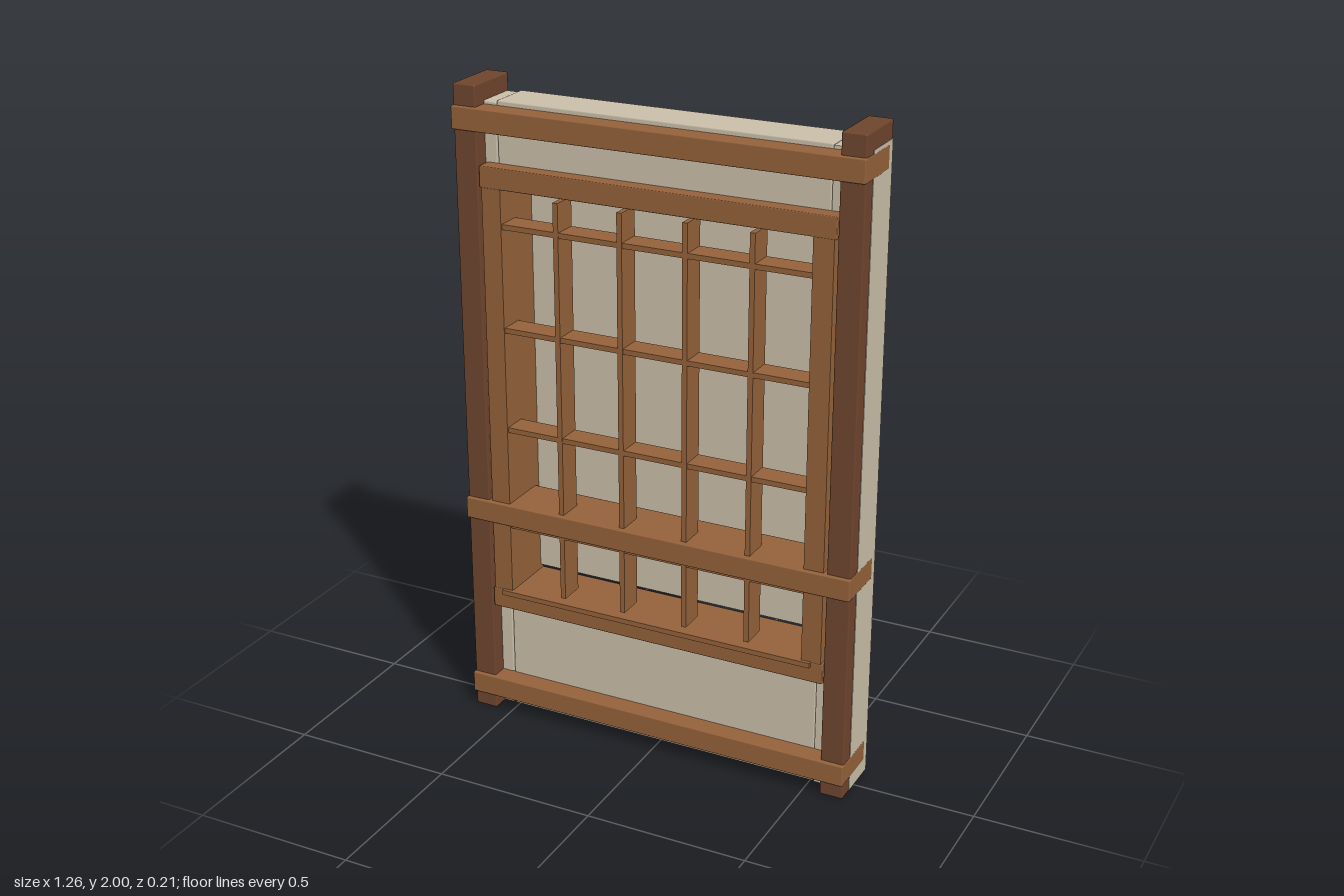
import * as THREE from 'three';
import { RoundedBoxGeometry } from 'three/addons/geometries/RoundedBoxGeometry.js';

const mat = (name, color) => {
  const m = new THREE.MeshStandardMaterial({ color });
  m.name = name;
  return m;
};

export function createModel() {
  const darkWood = mat('darkWood', 0x6f452d);
  const wood = mat('wood', 0x94623a);
  const plaster = mat('plaster', 0xcabfa9);
  const model = new THREE.Group();
  model.name = 'latticeWindowWall';

  // Box given by its limits on each axis, with an optional small bevel
  const box = (name, material, [x0, x1], [y0, y1], [z0, z1], bevel = 0) => {
    const w = x1 - x0, h = y1 - y0, d = z1 - z0;
    const geo = bevel ? new RoundedBoxGeometry(w, h, d, 1, bevel) : new THREE.BoxGeometry(w, h, d);
    const mesh = new THREE.Mesh(geo, material);
    mesh.name = name;
    mesh.position.set((x0 + x1) / 2, (y0 + y1) / 2, (z0 + z1) / 2);
    model.add(mesh);
  };
  const mirror = (s, a, b) => (s > 0 ? [a, b] : [-b, -a]);

  // Corner posts
  for (const s of [-1, 1]) {
    box(s > 0 ? 'leftPost' : 'rightPost', darkWood, mirror(s, 0.553, 0.626), [0, 2], [-0.096, 0.09], 0.005);
  }

  // Plaster wall: panels above and below the window, strips beside it
  const wallZ = [-0.095, 0.042];
  box('upperWall', plaster, [-0.512, 0.512], [1.72, 1.952], wallZ, 0.005);
  box('lowerWall', plaster, [-0.512, 0.512], [0.004, 0.42], wallZ, 0.005);
  box('rightWallStrip', plaster, [-0.62, -0.514], [0.004, 1.947], [-0.092, 0.042], 0.005);
  box('leftWallStrip', plaster, [0.514, 0.6275], [0.004, 1.947], [-0.092, 0.042]);

  // Horizontal rails running through the posts
  for (const y of [0.083, 0.69, 1.903]) {
    box('rail', wood, [-0.6255, 0.6285], [y - 0.034, y + 0.034], [-0.07, 0.102], 0.004);
    // Rail end in front of the right post
    box('railEnd', wood, [-0.628, -0.6], [y - 0.034, y + 0.034], [0.07, 0.102], 0.004);
  }

  // Deep window frame
  const frameZ = [-0.103, 0.088];
  for (const s of [-1, 1]) {
    box('frameStile', wood, mirror(s, 0.482, 0.543), [0.37, 1.765], frameZ);
  }
  box('frameHead', wood, [-0.549, 0.549], [1.705, 1.769], [-0.104, 0.089], 0.003);
  box('frameSill', wood, [-0.549, 0.549], [0.366, 0.43], [-0.104, 0.089], 0.003);
  box('sillLip', wood, [-0.512, 0.512], [0.415, 0.431], [0.08, 0.099]);

  // Paper screen, leaving a narrow gap at top and bottom
  box('paperScreen', plaster, [-0.484, 0.484], [0.444, 1.69], [-0.094, -0.087]);

  // Lattice bars
  for (const x of [-0.305, -0.102, 0.102, 0.305]) {
    box('verticalBar', wood, [x - 0.008, x + 0.008], [0.444, 1.69], [0.005, 0.085]);
  }
  for (const y of [0.65, 0.965, 1.28, 1.595]) {
    box('horizontalBar', wood, [-0.484, 0.484], [y - 0.008, y + 0.008], [0.007, 0.083]);
  }
  return model;
}
